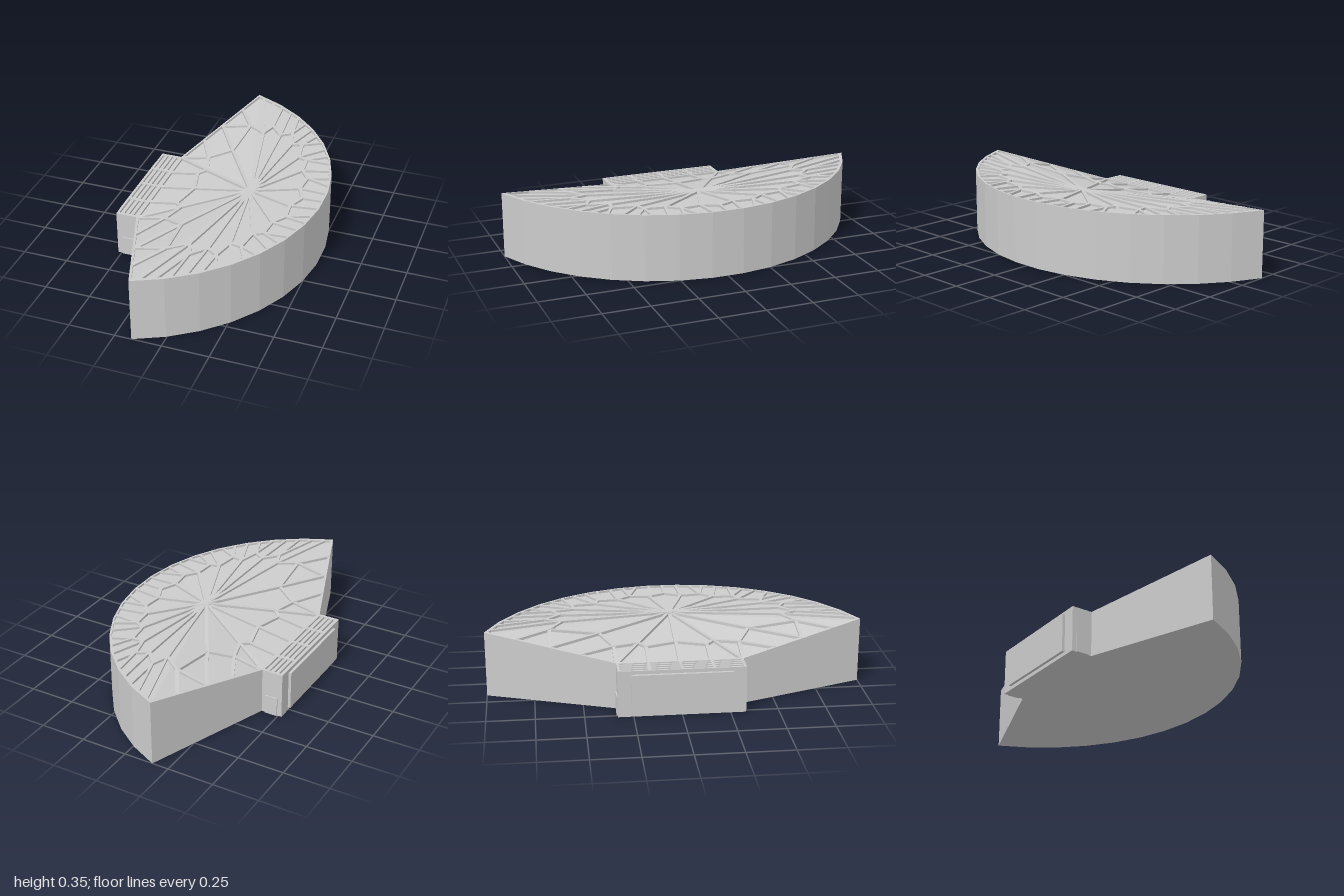
import * as THREE from 'three';

const material = new THREE.MeshStandardMaterial({ color: 0xcccccc, flatShading: true });
const DEPTH = 0.012; // how far the roof panels sit below the ribs
const HUB = new THREE.Vector3(0.12, 0.338, 0);

// Plan outline with eave heights: 15-sided arc, then the two low corners at the entrance
const rimPoint = (a) => new THREE.Vector3(-0.54 + 1.07 * Math.cos(a), 0.355, 1.07 * Math.sin(a));
const SWEEP = Math.asin(1 / 1.07);
const outline = [];
for (let i = 0; i <= 15; i++) outline.push(rimPoint(SWEEP * (i / 7.5 - 1)));
outline.push(new THREE.Vector3(-0.405, 0.25, 0.33), new THREE.Vector3(-0.405, 0.25, -0.33));

// Height of the rib tops, interpolated over the triangles between hub and eaves
function roofY(x, z) {
  const px = x - HUB.x, pz = z - HUB.z;
  for (let i = 0; i < outline.length; i++) {
    const a = outline[i], b = outline[(i + 1) % outline.length];
    const ax = a.x - HUB.x, az = a.z, bx = b.x - HUB.x, bz = b.z;
    const det = ax * bz - az * bx;
    const u = (px * bz - pz * bx) / det, v = (ax * pz - az * px) / det;
    if (u >= -1e-6 && v >= -1e-6) return HUB.y + u * (a.y - HUB.y) + v * (b.y - HUB.y);
  }
  return HUB.y;
}

function addMesh(parent, name, geometry, x = 0, y = 0, z = 0) {
  const mesh = new THREE.Mesh(geometry, material);
  mesh.name = name;
  mesh.position.set(x, y, z);
  parent.add(mesh);
  return mesh;
}

// Box given by its minimum and maximum corners
function addBox(parent, name, x0, x1, y0, y1, z0, z1) {
  return addMesh(parent, name, new THREE.BoxGeometry(x1 - x0, y1 - y0, z1 - z0),
    (x0 + x1) / 2, (y0 + y1) / 2, (z0 + z1) / 2);
}

// Raised bar lying on the roof between two plan points
function addRib(parent, name, [x0, z0], [x1, z1], width = 0.018) {
  const a = new THREE.Vector3(x0, roofY(x0, z0), z0);
  const b = new THREE.Vector3(x1, roofY(x1, z1), z1);
  const geometry = new THREE.BoxGeometry(width, DEPTH * 1.3, a.distanceTo(b));
  geometry.translate(0, -DEPTH * 0.65, 0);
  const rib = addMesh(parent, name, geometry);
  rib.position.copy(a).add(b).multiplyScalar(0.5);
  rib.lookAt(b);
}

// Outer walls, rim frame, sunken roof panels and floor
function bodyGeometry() {
  const pos = [];
  const tri = (...pts) => pts.forEach((p) => pos.push(p.x, p.y, p.z));
  const quad = (a, b, c, d) => { tri(a, b, c); tri(a, c, d); };
  const at = (p, y) => new THREE.Vector3(p.x, y, p.z);
  const inset = (p) => p.clone().lerp(HUB, 0.022);
  const low = (p) => at(p, p.y - DEPTH);
  const n = outline.length;
  for (let i = 0; i < n; i++) {
    const a = outline[i], b = outline[(i + 1) % n];
    const ai = inset(a), bi = inset(b);
    quad(at(a, 0), a, b, at(b, 0));
    quad(a, ai, bi, b);
    quad(ai, low(ai), low(bi), bi);
    tri(low(HUB), low(bi), low(ai));
    tri(at(HUB, 0), at(a, 0), at(b, 0));
  }
  const geometry = new THREE.BufferGeometry();
  geometry.setAttribute('position', new THREE.Float32BufferAttribute(pos, 3));
  geometry.computeVertexNormals();
  return geometry;
}

export function createModel() {
  const model = new THREE.Group();
  model.name = 'fanShapedHall';
  addMesh(model, 'hallBody', bodyGeometry());

  const ribs = new THREE.Group();
  ribs.name = 'roofRibs';
  model.add(ribs);
  const hub = new THREE.CylinderGeometry(0.028, 0.028, DEPTH * 1.2, 12);
  addMesh(ribs, 'roofHub', hub, HUB.x, HUB.y - DEPTH * 0.6, 0);

  // Inner and outer corners of the zigzag ring, for one half
  const valleys = [[0, 0.59], [0.1, 0.6], [0.19, 0.52], [0.27, 0.4], [0.33, 0.27], [0.37, 0.09]];
  const peaks = [[0.03, 0.68], [0.16, 0.64], [0.25, 0.53], [0.32, 0.38], [0.38, 0.2], [0.41, 0]];
  const backRing = [[-0.2, 0], [-0.24, 0.16], [-0.2, 0.2], [-0.24, 0.33], [-0.12, 0.4], [-0.1, 0.66], [0, 0.59]];
  // Ribs running from the ring to the straight rear walls
  const rearRibs = [
    [[-0.24, 0.16], [-0.4, 0.16]], [[-0.24, 0.33], [-0.4, 0.33]], [[-0.2, 0.2], [-0.4, 0.325]],
    [[-0.24, 0.33], [-0.33, 0.51]], [[-0.12, 0.4], [-0.27, 0.66]],
    [[-0.1, 0.66], [-0.27, 0.66]], [[-0.1, 0.66], [-0.21, 0.84]],
  ];

  for (const side of [1, -1]) {
    const rib = (name, a, b, w) => addRib(ribs, name, [a[0], a[1] * side], [b[0], b[1] * side], w);
    const centre = [HUB.x, 0];
    [[-0.2, 0.2], [-0.12, 0.4], ...valleys].forEach((v) => rib('spoke', centre, v));
    for (let i = 0; i < backRing.length - 1; i++) rib('ringRib', backRing[i], backRing[i + 1]);
    rearRibs.forEach(([a, b]) => rib('rearRib', a, b));

    // Zigzag ring and the narrow ribs fanning out to the curved rim
    const starts = [];
    valleys.forEach((v, i) => {
      rib('ringRib', v, peaks[i]);
      if (i < 5) rib('ringRib', peaks[i], valleys[i + 1]);
      starts.push(v, peaks[i]);
      if (i < 5) starts.push(peaks[i]);
    });
    starts.forEach((s, i) => {
      const end = rimPoint(SWEEP * 0.96 * (1 - i / (starts.length - 1)));
      rib('rimRib', s, [end.x - 0.008, end.z * 0.99], 0.014);
    });
  }
  addRib(ribs, 'spoke', [HUB.x, 0], [-0.4, 0]);

  // Entrance block with a gridded flat roof, a rear panel and side doors
  const entrance = new THREE.Group();
  entrance.name = 'entrance';
  model.add(entrance);
  addBox(entrance, 'entranceBlock', -0.52, -0.4, 0, 0.25 - DEPTH, -0.33, 0.33);
  addBox(entrance, 'entrancePanel', -0.535, -0.52, 0.02, 0.23, -0.26, 0.26);
  for (const x of [-0.514, -0.487, -0.46, -0.433, -0.406])
    addBox(entrance, 'roofSlat', x - 0.006, x + 0.006, 0.236, 0.25, -0.33, 0.33);
  for (const z of [-0.322, -0.165, 0, 0.165, 0.322])
    addBox(entrance, 'roofCrossbar', -0.519, -0.401, 0.236, 0.2495, z - 0.008, z + 0.008);
  for (const side of [1, -1])
    addBox(entrance, 'sideDoor', -0.495, -0.425, 0, 0.105, side * 0.332 - 0.004, side * 0.332 + 0.004);

  return model;
}
